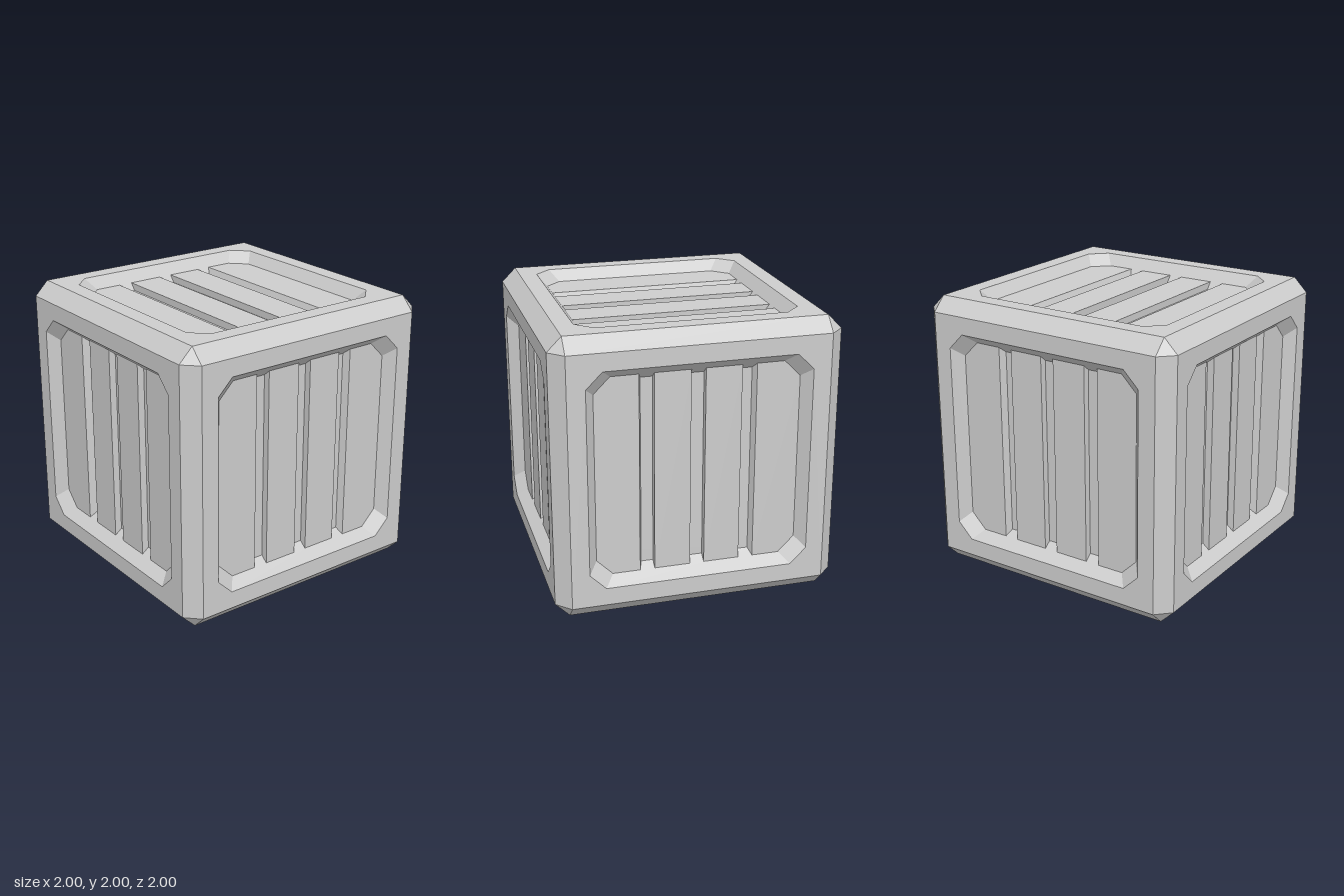
import * as THREE from 'three';

const FACE = 0.9;                                 // half width of a flat face inside the bevels
const RIM = 0.775, PLANK = 0.712, FLOOR = 0.67;   // recess half widths at three depths
const PLANK_Z = 0.92, FLOOR_Z = 0.87;
const CUT = 0.113;                                // corner cut of the recess

// Band between two counter-clockwise loops, closed by a flat cap on the second
function loft(a, za, b, zb) {
  const p = [], n = a.length;
  const A = (i) => [...a[i % n], za], B = (i) => [...b[i % n], zb];
  for (let i = 0; i < n; i++) {
    p.push(...A(i), ...A(i + 1), ...B(i + 1), ...A(i), ...B(i + 1), ...B(i));
    if (i > 0 && i < n - 1) p.push(...B(0), ...B(i), ...B(i + 1));
  }
  return triangles(p);
}

function triangles(p) {
  const g = new THREE.BufferGeometry();
  g.setAttribute('position', new THREE.Float32BufferAttribute(p, 3));
  g.computeVertexNormals();
  return g;
}

// Right half of the recess outline, starting from x = a
const halfOutline = (a, r) => [[a, -r], [r - CUT, -r], [r, CUT - r], [r, r - CUT], [r - CUT, r], [a, r]];
const turned = (pts) => pts.map(([x, y]) => [-x, -y]);
const octagon = (r) => {
  const half = halfOutline(0, r).slice(1, 5);
  return [...half, ...turned(half)];
};
const strip = (a, b, r) => [[a, -r], [b, -r], [b, r], [a, r]];

export function createModel() {
  const model = new THREE.Group();
  model.name = 'crate';
  const grey = new THREE.MeshStandardMaterial({ color: 0xcccccc, flatShading: true });
  grey.name = 'grey';

  const add = (parent, name, geometry) => {
    const mesh = new THREE.Mesh(geometry, grey);
    mesh.name = name;
    parent.add(mesh);
    return mesh;
  };

  // Shared geometry for one side, facing +z
  const shape = new THREE.Shape(strip(-FACE, FACE, FACE).map(([x, y]) => new THREE.Vector2(x, y)));
  shape.holes.push(new THREE.Path(octagon(RIM).map(([x, y]) => new THREE.Vector2(x, y))));
  const frame = new THREE.ShapeGeometry(shape).translate(0, 0, 1);
  const recess = loft(octagon(RIM), 1, octagon(FLOOR), FLOOR_Z);
  const outerPlank = loft(halfOutline(0.385, FLOOR), FLOOR_Z, halfOutline(0.405, PLANK), PLANK_Z);
  const innerPlank = loft(strip(0.05, 0.302, FLOOR), FLOOR_Z, strip(0.05, 0.302, PLANK), PLANK_Z);

  // Six identical sides
  const q = Math.PI / 2;
  const sides = {
    front: [0, 0], right: [0, q], back: [0, 2 * q], left: [0, -q], top: [-q, 0], bottom: [q, 0],
  };
  for (const [name, [rx, ry]] of Object.entries(sides)) {
    const side = new THREE.Group();
    side.name = name + 'Side';
    side.rotation.set(rx, ry, 0);
    add(side, 'frame', frame);
    add(side, 'recess', recess);
    for (const turn of [0, Math.PI]) {
      add(side, 'outerPlank', outerPlank).rotation.z = turn;
      add(side, 'innerPlank', innerPlank).rotation.z = turn;
    }
    model.add(side);
  }

  // Bevelled edges: four around each axis
  for (const [ry, rz] of [[0, 0], [q, 0], [0, q]]) {
    for (let k = 0; k < 4; k++) {
      const bevel = new THREE.PlaneGeometry(2 * FACE, 0.1 * Math.SQRT2)
        .rotateX(-Math.PI / 4).translate(0, 0.95, 0.95)
        .rotateX(k * q).rotateY(ry).rotateZ(rz);
      add(model, 'edgeBevel', bevel);
    }
  }

  // Triangular corners: four on top, four below
  for (let k = 0; k < 8; k++) {
    const corner = triangles([1, FACE, FACE, FACE, 1, FACE, FACE, FACE, 1]);
    corner.rotateY(k * q);
    if (k > 3) corner.rotateX(Math.PI);
    add(model, 'corner', corner);
  }

  // Stand on the ground
  for (const part of model.children) part.position.y = 1;
  return model;
}
